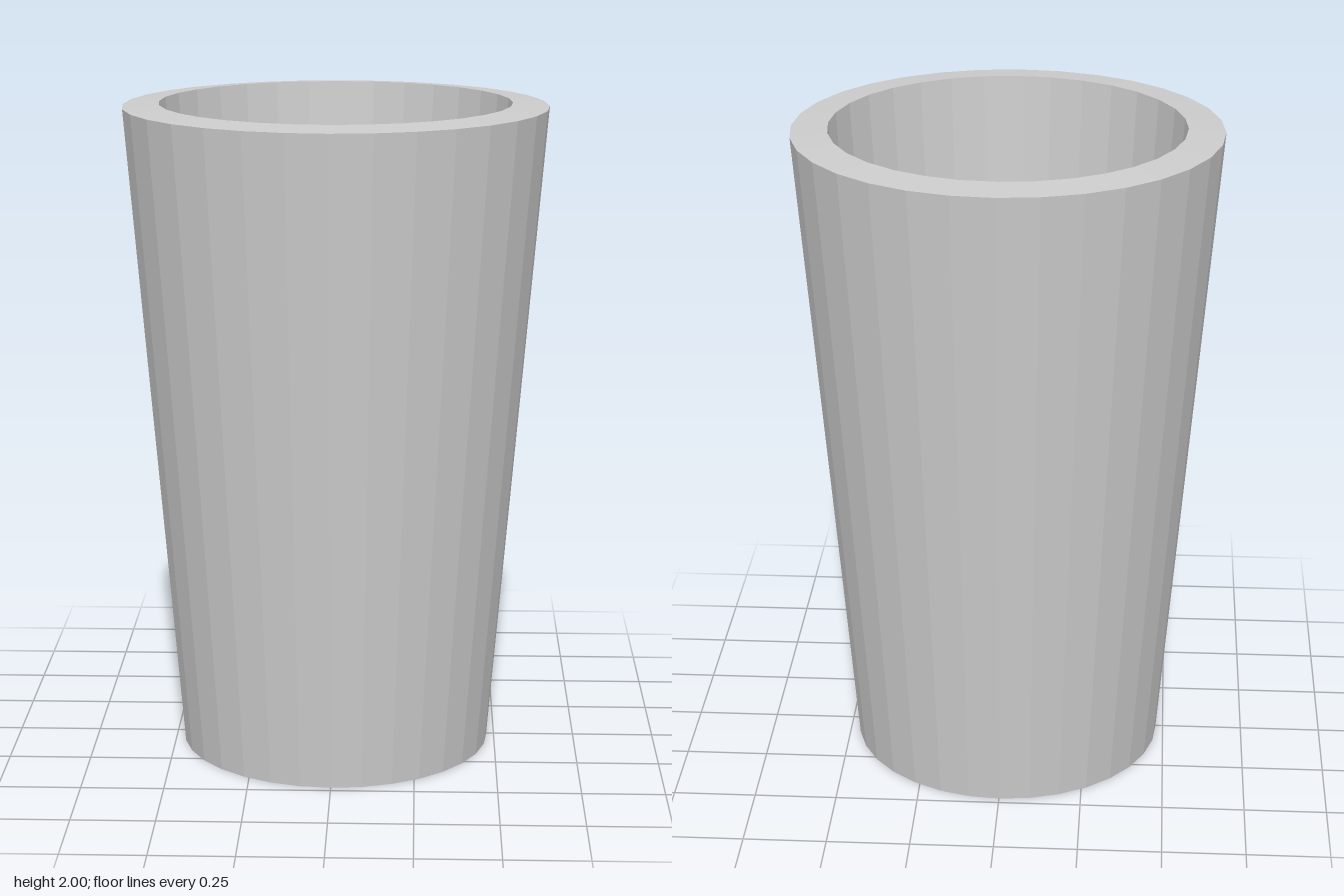
import * as THREE from 'three';

export function createModel() {
  const group = new THREE.Group();

  // Closed wall profile (radius, height): underside, outer wall, sloped rim, inner wall, floor
  const profile = [
    [0, 0], [0.477, 0], [0.64, 1.99], [0.53, 2], [0.4, 0.08], [0, 0.08],
  ].map(([r, y]) => new THREE.Vector2(r, y));

  const cup = new THREE.Mesh(
    new THREE.LatheGeometry(profile, 32),
    new THREE.MeshStandardMaterial({ color: 0xcccccc, flatShading: true })
  );
  cup.name = 'cup';
  group.add(cup);

  return group;
}
